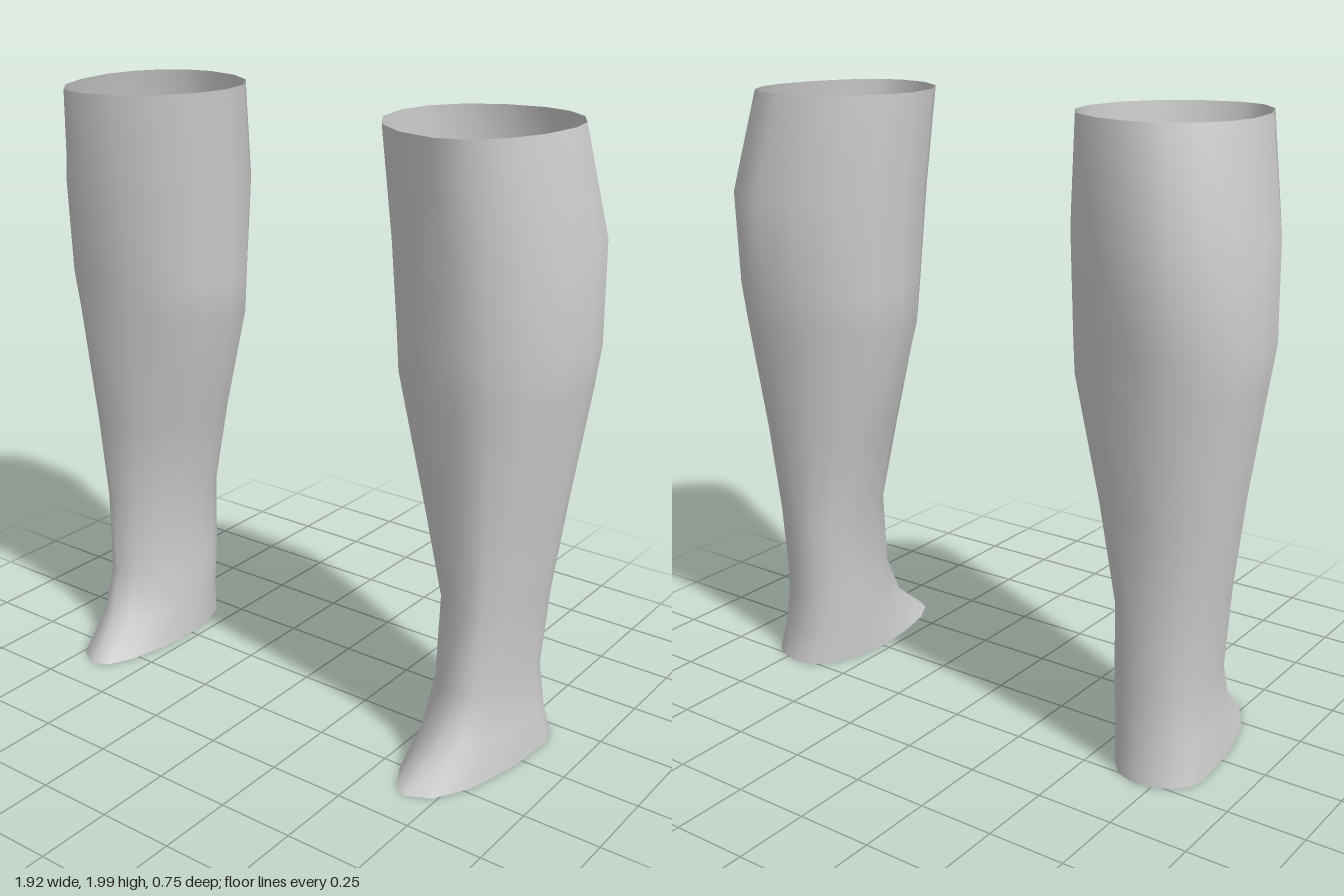
import * as THREE from 'three';

// Cross-sections, bottom to top:
// [y, inner x, inner z, outer x, outer z, back x, back z, front x, front z]
const SECTIONS = [
  [0.01, 0.53, 0.00, 0.86, -0.14, 0.69, -0.275, 0.66, 0.38],
  [0.13, 0.532, -0.05, 0.845, -0.11, 0.68, -0.25, 0.69, 0.242],
  [0.28, 0.535, -0.09, 0.825, -0.10, 0.67, -0.25, 0.71, 0.185],
  [0.55, 0.537, -0.09, 0.85, -0.09, 0.67, -0.262, 0.72, 0.17],
  [0.85, 0.46, -0.08, 0.89, -0.09, 0.68, -0.283, 0.71, 0.195],
  [1.23, 0.362, -0.06, 0.943, -0.09, 0.69, -0.33, 0.70, 0.235],
  [1.36, 0.357, -0.06, 0.96, -0.08, 0.70, -0.345, 0.69, 0.25],
  [1.67, 0.345, -0.05, 0.948, -0.08, 0.70, -0.375, 0.68, 0.284],
  [2.00, 0.33, -0.02, 0.88, -0.05, 0.645, -0.31, 0.655, 0.32],
];
const STEPS = 4; // segments per quarter

// One ring made of four quarter ellipses joining its extreme points
function ring([y, ix, iz, ox, oz, bx, bz, fx, fz]) {
  const corners = [[fx, fz], [ox, oz], [bx, bz], [ix, iz]];
  const points = [];
  corners.forEach((p, q) => {
    const n = corners[(q + 1) % 4];
    for (let i = 0; i < STEPS; i++) {
      const t = (i / STEPS) * Math.PI / 2;
      const s = Math.sin(t), c = 1 - Math.cos(t);
      const [kx, kz] = q % 2 === 0 ? [s, c] : [c, s];
      points.push([p[0] + (n[0] - p[0]) * kx, y, p[1] + (n[1] - p[1]) * kz]);
    }
  });
  return points;
}

// Open tube through all rings; side = -1 mirrors it
function legGeometry(side) {
  const n = STEPS * 4, pos = [], index = [];
  SECTIONS.forEach(s => ring(s).forEach(([x, y, z]) => pos.push(side * x, y, z)));
  for (let r = 0; r < SECTIONS.length - 1; r++) {
    for (let i = 0; i < n; i++) {
      const a = r * n + i, b = r * n + (i + 1) % n, c = a + n, d = b + n;
      if (side > 0) index.push(a, b, d, a, d, c);
      else index.push(a, d, b, a, c, d);
    }
  }
  const g = new THREE.BufferGeometry();
  g.setAttribute('position', new THREE.Float32BufferAttribute(pos, 3));
  g.setIndex(index);
  g.computeVertexNormals();
  return g;
}

export function createModel() {
  const group = new THREE.Group();
  group.name = 'legSleeves';
  const cloth = new THREE.MeshStandardMaterial({ color: 0xcccccc, side: THREE.DoubleSide });
  cloth.name = 'light grey cloth';
  for (const side of [1, -1]) {
    const leg = new THREE.Mesh(legGeometry(side), cloth);
    leg.name = side > 0 ? 'leftLegSleeve' : 'rightLegSleeve';
    group.add(leg);
  }
  return group;
}
